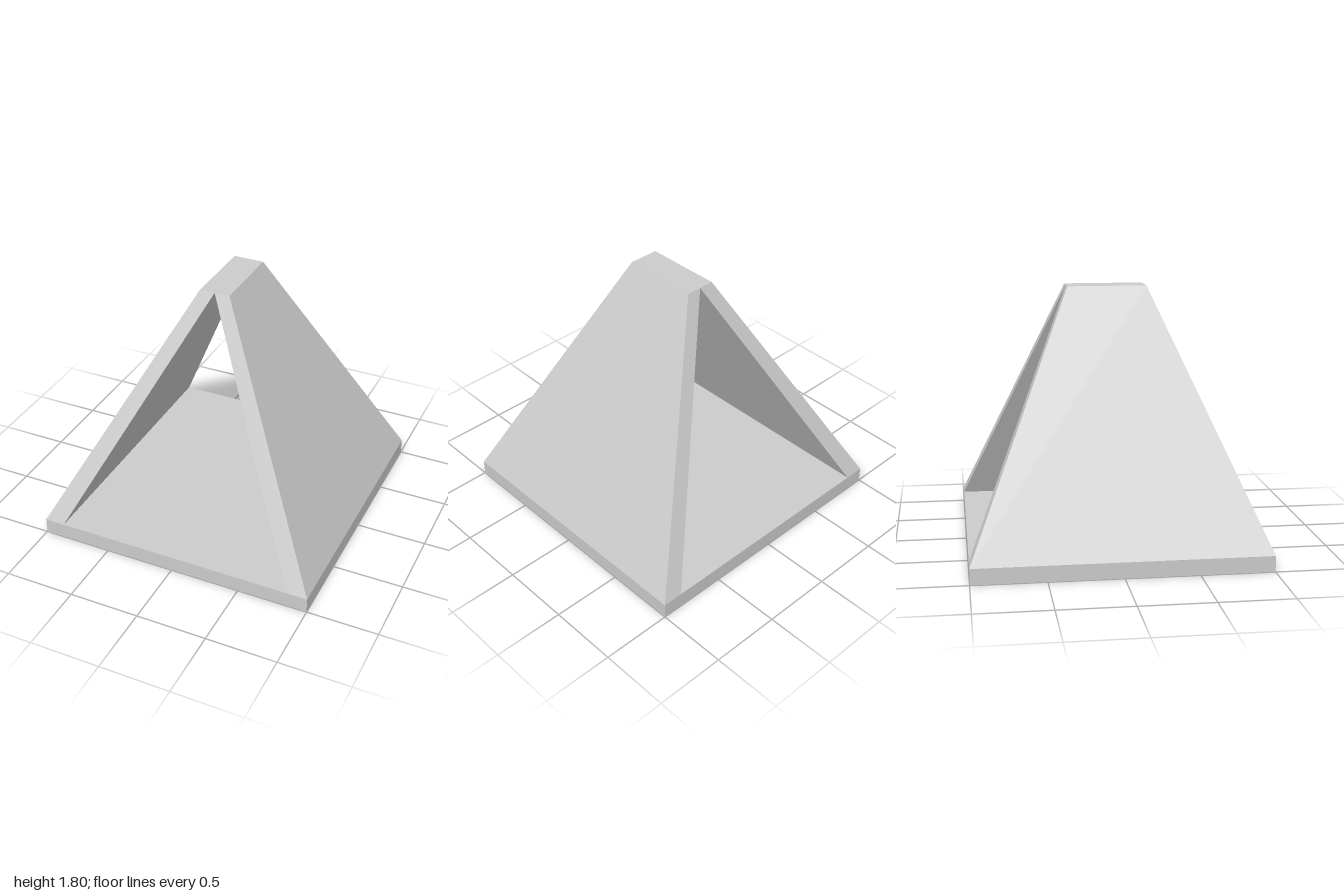
import * as THREE from 'three';

const BASE_H = 0.11, TOP = 1.805;

export function createModel() {
  const model = new THREE.Group();
  const material = new THREE.MeshStandardMaterial({ color: 0xcccccc, flatShading: true });

  // Flat square floor slab
  const base = new THREE.Mesh(new THREE.BoxGeometry(2, BASE_H, 2), material);
  base.position.y = BASE_H / 2;
  base.name = 'base';
  model.add(base);

  // Two leaning walls that meet at the ridge, open at front and back
  for (const side of [1, -1]) {
    const section = new THREE.Shape([
      [1, BASE_H], [0.107, TOP], [0, TOP], [0.855, BASE_H],
    ].map(([x, y]) => new THREE.Vector2(side * x, y)));
    const geometry = new THREE.ExtrudeGeometry(section, { depth: 2, bevelEnabled: false });
    geometry.translate(0, 0, -1);

    // Narrow the wall towards the ridge
    const p = geometry.attributes.position;
    for (let i = 0; i < p.count; i++) {
      const t = (p.getY(i) - BASE_H) / (TOP - BASE_H);
      p.setZ(i, p.getZ(i) * THREE.MathUtils.lerp(1, 0.275, t));
    }
    geometry.computeVertexNormals();

    const wall = new THREE.Mesh(geometry, material);
    wall.name = side > 0 ? 'leftWall' : 'rightWall';
    model.add(wall);
  }
  return model;
}
